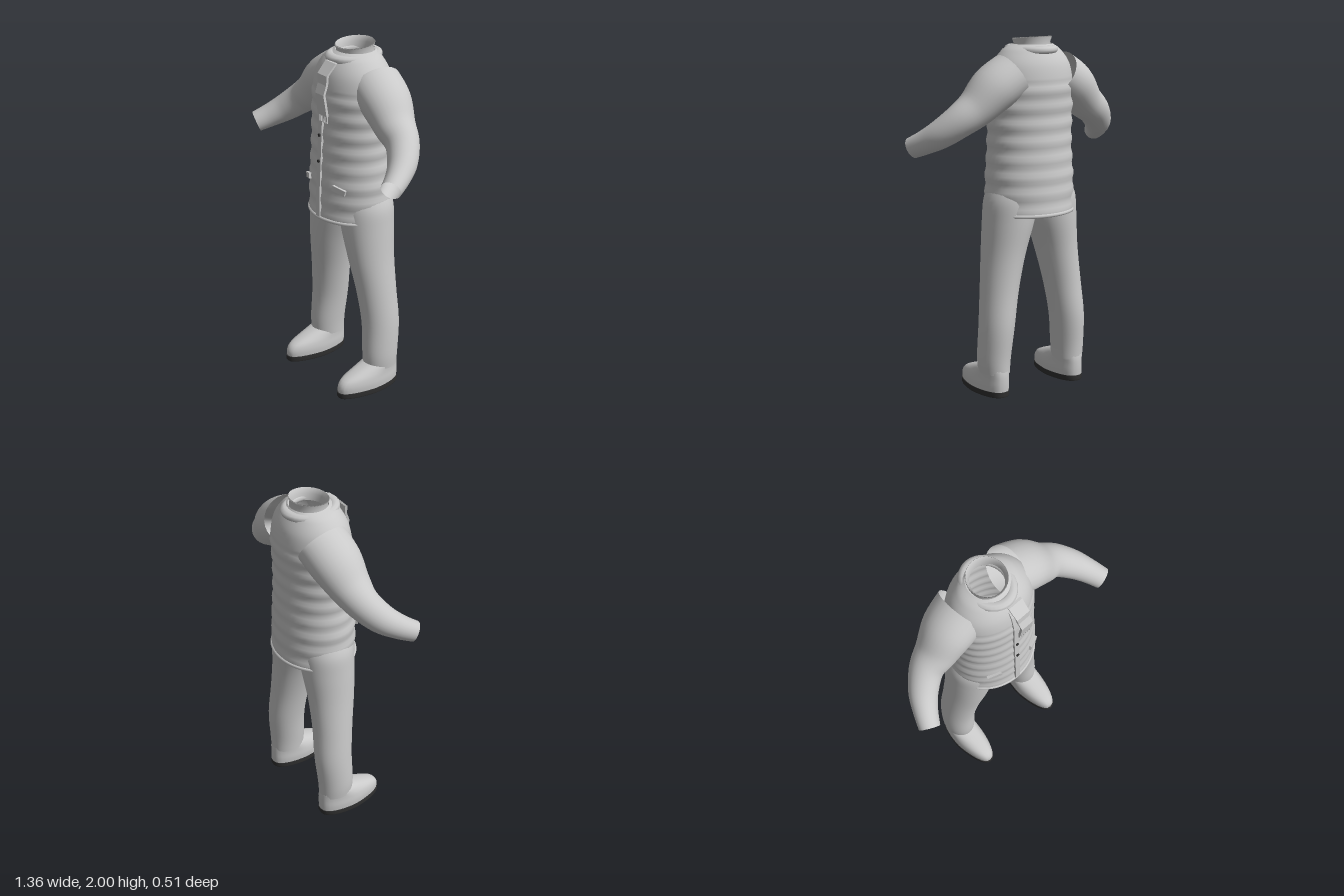
import * as THREE from 'three';

const cloth = new THREE.MeshStandardMaterial({ color: 0xc9c9c9, side: THREE.DoubleSide });
cloth.name = 'grey cloth';
const dark = new THREE.MeshStandardMaterial({ color: 0x303030, side: THREE.DoubleSide });
dark.name = 'dark rubber';

// Catmull-Rom interpolation of every column in a table, at row position p
function sample(rows, p) {
  const i = Math.min(Math.floor(p), rows.length - 2), t = p - i;
  const at = (k) => rows[Math.max(0, Math.min(rows.length - 1, k))];
  return rows[0].map((_, c) => {
    const [a, b, d, e] = [at(i - 1)[c], at(i)[c], at(i + 1)[c], at(i + 2)[c]];
    return b + 0.5 * t * (d - a + t * (2 * a - 5 * b + 4 * d - e + t * (3 * (b - d) + e - a)));
  });
}
function refine(rows, steps) {
  const out = [];
  const n = (rows.length - 1) * steps;
  for (let k = 0; k <= n; k++) out.push(sample(rows, k / steps));
  return out;
}

// Surface through closed rings of points; side -1 mirrors it across x
function loft(rings, { side = 1, capStart = false, capEnd = false, flat = false } = {}) {
  const n = rings[0].length, pos = [], idx = [];
  const tri = (a, b, c) => (side > 0 ? idx.push(a, b, c) : idx.push(a, c, b));
  rings.forEach((r) => r.forEach((p) => pos.push(p[0] * side, p[1], p[2])));
  for (let i = 0; i < rings.length - 1; i++) {
    for (let j = 0; j < n; j++) {
      const a = i * n + j, b = i * n + (j + 1) % n;
      tri(a, a + n, b);
      tri(b, a + n, b + n);
    }
  }
  const cap = (ring, end) => {
    const base = pos.length / 3;
    ring.forEach((p) => pos.push(p[0] * side, p[1], p[2]));
    for (let j = 1; j < n - 1; j++) {
      if (end) tri(base, base + j + 1, base + j);
      else tri(base, base + j, base + j + 1);
    }
  };
  if (capStart) cap(rings[0], false);
  if (capEnd) cap(rings[rings.length - 1], true);
  let geo = new THREE.BufferGeometry();
  geo.setAttribute('position', new THREE.Float32BufferAttribute(pos, 3));
  geo.setIndex(idx);
  if (flat) geo = geo.toNonIndexed();
  geo.computeVertexNormals();
  return geo;
}

function ring(n, fn) {
  return Array.from({ length: n }, (_, j) => fn((j / n) * Math.PI * 2));
}

// Jacket body: y, half width, front z, back z
const BODY = [
  [1.02, 0.255, 0.195, -0.242], [1.2, 0.262, 0.19, -0.238], [1.4, 0.25, 0.18, -0.23],
  [1.57, 0.252, 0.172, -0.228], [1.72, 0.25, 0.168, -0.237], [1.84, 0.228, 0.145, -0.222],
  [1.92, 0.17, 0.1, -0.185], [1.955, 0.11, 0.055, -0.16],
];
function bodyPoint([y, w, f, b], a) {
  const mid = (f + b) / 2;
  const quilt = y < 1.75 ? 1 + 0.018 * Math.sin((y - 1.02) * 66) : 1;
  return [w * Math.cos(a) * quilt, y, mid + (f - mid) * Math.sin(a) * quilt];
}
// Front z of the jacket at height y
function frontZ(y) {
  let i = 0;
  while (i < BODY.length - 2 && BODY[i + 1][0] < y) i++;
  const t = (y - BODY[i][0]) / (BODY[i + 1][0] - BODY[i][0]);
  return BODY[i][2] + t * (BODY[i + 1][2] - BODY[i][2]);
}

// Flat strip through rows of x, y, z, half width
function strip(rows, thick) {
  return loft(rows.map(([x, y, z, w]) => [
    [x + w, y, z + thick], [x - w, y, z + thick], [x - w, y, z - thick], [x + w, y, z - thick],
  ]), { capStart: true, capEnd: true, flat: true });
}

// Sleeve path: x, y, z, radius in the front plane, radius in depth
const SLEEVE = [
  [0.15, 1.79, -0.07, 0.13, 0.15], [0.26, 1.72, -0.058, 0.128, 0.145],
  [0.36, 1.625, -0.04, 0.105, 0.117], [0.45, 1.56, -0.02, 0.091, 0.093],
  [0.53, 1.49, 0.04, 0.08, 0.08], [0.585, 1.44, 0.115, 0.068, 0.066], [0.625, 1.403, 0.19, 0.06, 0.056],
];
function sleeveGeometry(side) {
  const rows = refine(SLEEVE, 5);
  const vec = (k) => new THREE.Vector3(...rows[Math.max(0, Math.min(rows.length - 1, k))].slice(0, 3));
  return loft(rows.map(([x, y, z, ru, rv], k) => {
    const t = vec(k + 1).sub(vec(k - 1)).normalize();
    const u = t.clone().cross(new THREE.Vector3(0, 0, 1)).normalize();
    const v = u.clone().cross(t);
    return ring(28, (a) => new THREE.Vector3(x, y, z)
      .addScaledVector(u, ru * Math.cos(a)).addScaledVector(v, rv * Math.sin(a)).toArray());
  }), { side });
}

// Trouser leg: y, inner x, outer x, front z, back z
const LEG = [
  [0.13, 0.172, 0.338, 0.06, -0.145], [0.22, 0.165, 0.345, 0.065, -0.15], [0.4, 0.145, 0.34, 0.06, -0.165],
  [0.6, 0.11, 0.322, 0.078, -0.16], [0.8, 0.06, 0.302, 0.108, -0.165],
  [0.98, 0.003, 0.29, 0.125, -0.182], [1.1, -0.02, 0.28, 0.125, -0.185], [1.18, -0.02, 0.25, 0.11, -0.17],
];
// Shoe: y, half width, front z, back z
const SHOE = [
  [0.03, 0.084, 0.25, -0.148], [0.065, 0.086, 0.25, -0.15], [0.1, 0.083, 0.225, -0.15],
  [0.13, 0.08, 0.155, -0.148], [0.16, 0.078, 0.07, -0.142], [0.18, 0.068, 0.02, -0.13],
];
const shoeRing = ([y, w, f, b]) => ring(32, (a) => {
  const s = Math.sin(a), c = Math.cos(a);
  const taper = 1 - 0.2 * Math.max(0, s);
  return [0.257 + w * taper * Math.sign(c) * Math.abs(c) ** 0.8, y, (f + b) / 2 + ((f - b) / 2) * s];
});

export function createModel() {
  const model = new THREE.Group();
  const add = (name, geo, mat = cloth) => {
    const mesh = new THREE.Mesh(geo, mat);
    mesh.name = name;
    model.add(mesh);
    return mesh;
  };

  // Jacket
  add('jacketBody', loft(refine(BODY, 9).map((r) => ring(48, (a) => bodyPoint(r, a)))));
  // Collar rises, rolls over and drops back inside; lower at the front
  const collar = [[1.93, 0.104], [1.96, 0.1], [1.985, 0.109], [1.99, 0.106], [1.96, 0.094], [1.92, 0.092]];
  add('collar', loft(collar.map(([y, r]) => ring(36, (a) =>
    [r * Math.cos(a), y - 0.01 * Math.sin(a), -0.05 + r * Math.sin(a)]))));

  // Front and back hem rolls
  [['frontHem', 1], ['backHem', -1]].forEach(([name, dir]) => {
    const pts = [];
    for (let k = 0; k <= 16; k++) {
      const a = dir * (0.45 + (k / 16) * (Math.PI - 0.9));
      const p = bodyPoint(BODY[0], a);
      pts.push(new THREE.Vector3(p[0], 1.028, p[2]));
    }
    add(name, new THREE.TubeGeometry(new THREE.CatmullRomCurve3(pts), 32, 0.011, 8));
  });

  // Button placket and buttons
  const placket = [];
  for (let k = 0; k <= 20; k++) {
    const y = 1.035 + k * 0.042;
    placket.push([-0.003, y, frontZ(y) + 0.003, 0.016]);
  }
  add('placket', strip(placket, 0.007));
  [1.36, 1.51].forEach((y) => {
    const button = add('button', new THREE.CylinderGeometry(0.009, 0.009, 0.008, 12), dark);
    button.rotation.x = Math.PI / 2;
    button.position.set(-0.003, y, frontZ(y) + 0.013);
  });

  // Scarf wrap, hanging tail and fringe
  const wrap = new THREE.TorusGeometry(0.112, 0.026, 10, 36).rotateX(Math.PI / 2).scale(1, 0.9, 1.2);
  add('scarfWrap', wrap).position.set(0, 1.925, -0.042);
  add('scarfTail', strip([
    [0.042, 1.64, 0.193, 0.04], [0.04, 1.7, 0.2, 0.039], [0.037, 1.76, 0.207, 0.037],
    [0.032, 1.81, 0.186, 0.038], [0.029, 1.86, 0.182, 0.042], [0.027, 1.92, 0.125, 0.045],
  ], 0.007));
  for (let k = 0; k < 6; k++) {
    add('scarfFringe', new THREE.BoxGeometry(0.007, 0.045, 0.008)).position.set(0.008 + k * 0.0136, 1.622, 0.191);
  }

  [['left', 1], ['right', -1]].forEach(([label, side]) => {
    add(label + 'Sleeve', sleeveGeometry(side));

    // Slanted pocket flap
    const pocket = add(label + 'Pocket', new THREE.BoxGeometry(0.08, 0.032, 0.02));
    pocket.position.set(side * 0.14, 1.225, 0.161);
    pocket.rotation.set(0, side * 0.42, -side * 0.27);

    // Trouser leg
    add(label + 'Leg', loft(refine(LEG, 5).map(([y, i, o, f, b]) => ring(32, (a) =>
      [(i + o) / 2 + ((o - i) / 2) * Math.cos(a), y, (f + b) / 2 + ((f - b) / 2) * Math.sin(a)])),
    { side, capEnd: true }));

    // Shoe and sole
    add(label + 'Shoe', loft(refine(SHOE, 3).map(shoeRing), { side, capEnd: true }));
    add(label + 'Sole', loft([[0, 0.085, 0.252, -0.147], [0.008, 0.088, 0.256, -0.15], [0.032, 0.088, 0.256, -0.15]]
      .map(shoeRing), { side, capStart: true, capEnd: true }), dark);
  });
  return model;
}
